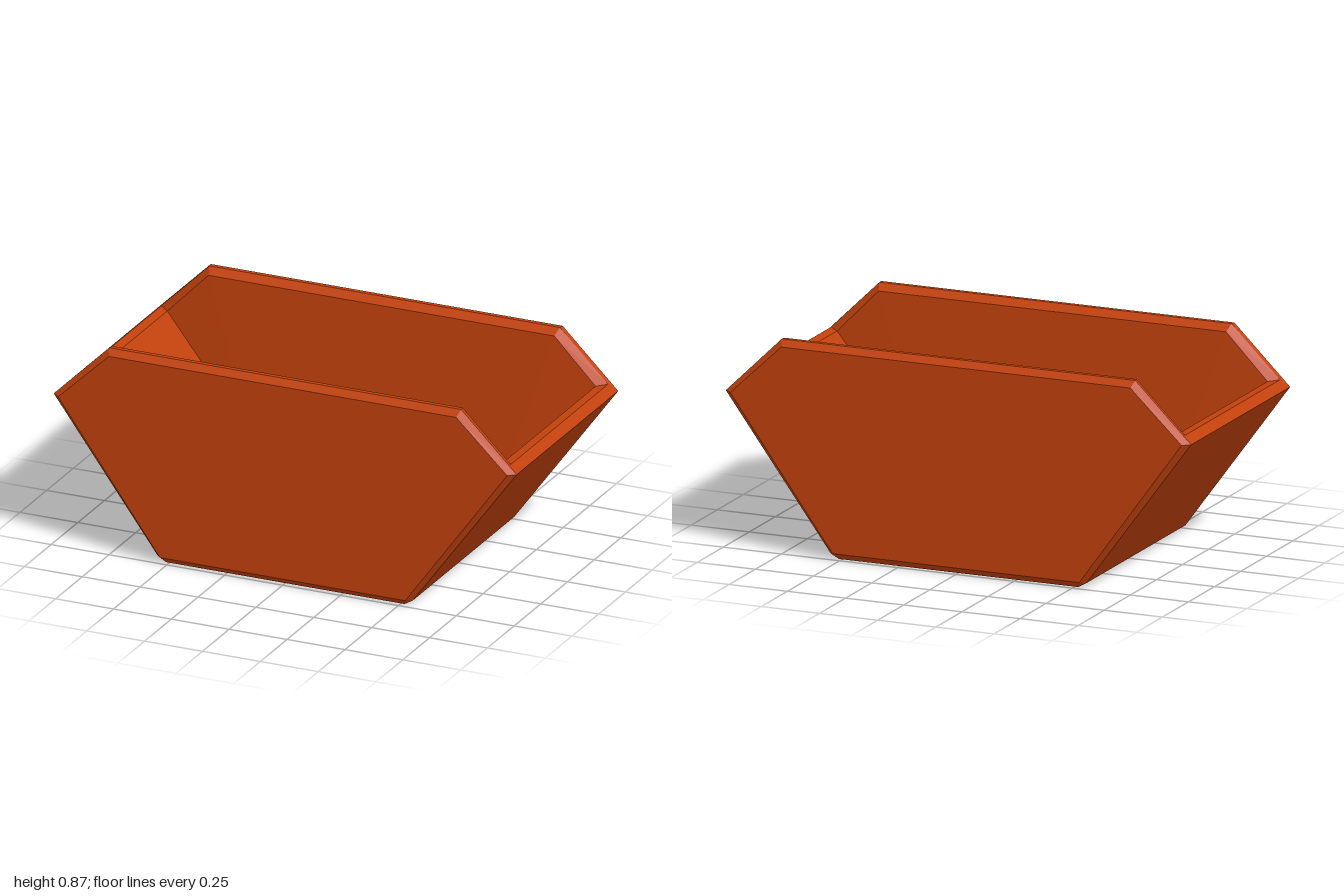
import * as THREE from 'three';

// Quads between two matching closed loops; optional range of segments
function bridge(a, b, from = 0, to = a.length - 1) {
  const tris = [];
  for (let i = from; i <= to; i++) {
    const j = (i + 1) % a.length;
    tris.push(a[i], a[j], b[j], a[i], b[j], b[i]);
  }
  return tris;
}

// Fan that closes a convex loop
function cap(loop) {
  const tris = [];
  for (let i = 1; i < loop.length - 1; i++) tris.push(loop[0], loop[i], loop[i + 1]);
  return tris;
}

// Vertical section at depth z, mirrored left to right
function section(half, z) {
  const right = half.map(([x, y]) => [x, y, z]);
  const left = half.map(([x, y]) => [-x, y, z]).reverse();
  return [...right, ...left];
}

// Loop around the opening, mirrored from one shoulder and one end corner
function ring(s, e) {
  const at = ([x, y, z], sx, sz) => [x * sx, y, z * sz];
  return [at(s, 1, 1), at(e, 1, 1), at(e, 1, -1), at(s, 1, -1),
    at(s, -1, -1), at(e, -1, -1), at(e, -1, 1), at(s, -1, 1)];
}

// Inner side panel: a middle trapezoid and a corner triangle at each end
function innerSide(s, e, f, m) {
  const at = ([x, y, z], sx) => [x * sx, y, z * m];
  const tris = [
    at(s, -1), at(s, 1), at(f, 1), at(s, -1), at(f, 1), at(f, -1),
    at(s, 1), at(e, 1), at(f, 1), at(e, -1), at(s, -1), at(f, -1)];
  return m > 0 ? tris : tris.reverse();
}

export function createModel() {
  const group = new THREE.Group();
  group.name = 'openSkip';
  const paint = new THREE.MeshStandardMaterial({ color: 0xc2410c });
  paint.name = 'orange paint';

  const add = (name, tris) => {
    const g = new THREE.BufferGeometry();
    g.setAttribute('position', new THREE.Float32BufferAttribute(tris.flat(), 3));
    g.computeVertexNormals(); // unshared vertices keep facets flat
    const mesh = new THREE.Mesh(g, paint);
    mesh.name = name;
    group.add(mesh);
  };

  // Half outlines: shoulder, end corner, lower bevel, base
  const outer = [[0.76, 0.867], [1, 0.632], [0.55, 0.02], [0.515, 0]];
  const inset = [[0.75, 0.841], [0.97, 0.632], [0.53, 0.026], [0.525, 0.026]];
  const frontPanel = section(inset, 0.5), frontEdge = section(outer, 0.475);
  const backEdge = section(outer, -0.475), backPanel = section(inset, -0.5);

  // Sloping ends and base
  add('outerShell', bridge(frontEdge, backEdge, 1, 5));

  // Long side panels with chamfered borders
  add('frontSide', [...cap([...frontPanel].reverse()), ...bridge(frontPanel, frontEdge)]);
  add('backSide', [...cap(backPanel), ...bridge(backEdge, backPanel)]);

  // Rim: flat band, then inner chamfer
  const shoulder = [0.747, 0.84, 0.425], corner = [0.925, 0.658, 0.425];
  const rimOuter = ring([0.76, 0.867, 0.475], [1, 0.632, 0.475]);
  const rimInner = ring([0.757, 0.867, 0.455], [0.965, 0.662, 0.455]);
  const lip = ring(shoulder, corner);
  add('rim', [...bridge(rimOuter, rimInner), ...bridge(rimInner, lip)]);

  // Tapered interior and floor
  const foot = [0.54, 0.21, 0.381];
  const floor = ring(foot, foot);
  add('innerFrontSide', innerSide(shoulder, corner, foot, 1));
  add('innerBackSide', innerSide(shoulder, corner, foot, -1));
  add('innerRightEnd', bridge(lip, floor, 5, 5));
  add('innerLeftEnd', bridge(lip, floor, 1, 1));
  add('innerFloor', cap([floor[1], floor[2], floor[5], floor[6]]));

  return group;
}
